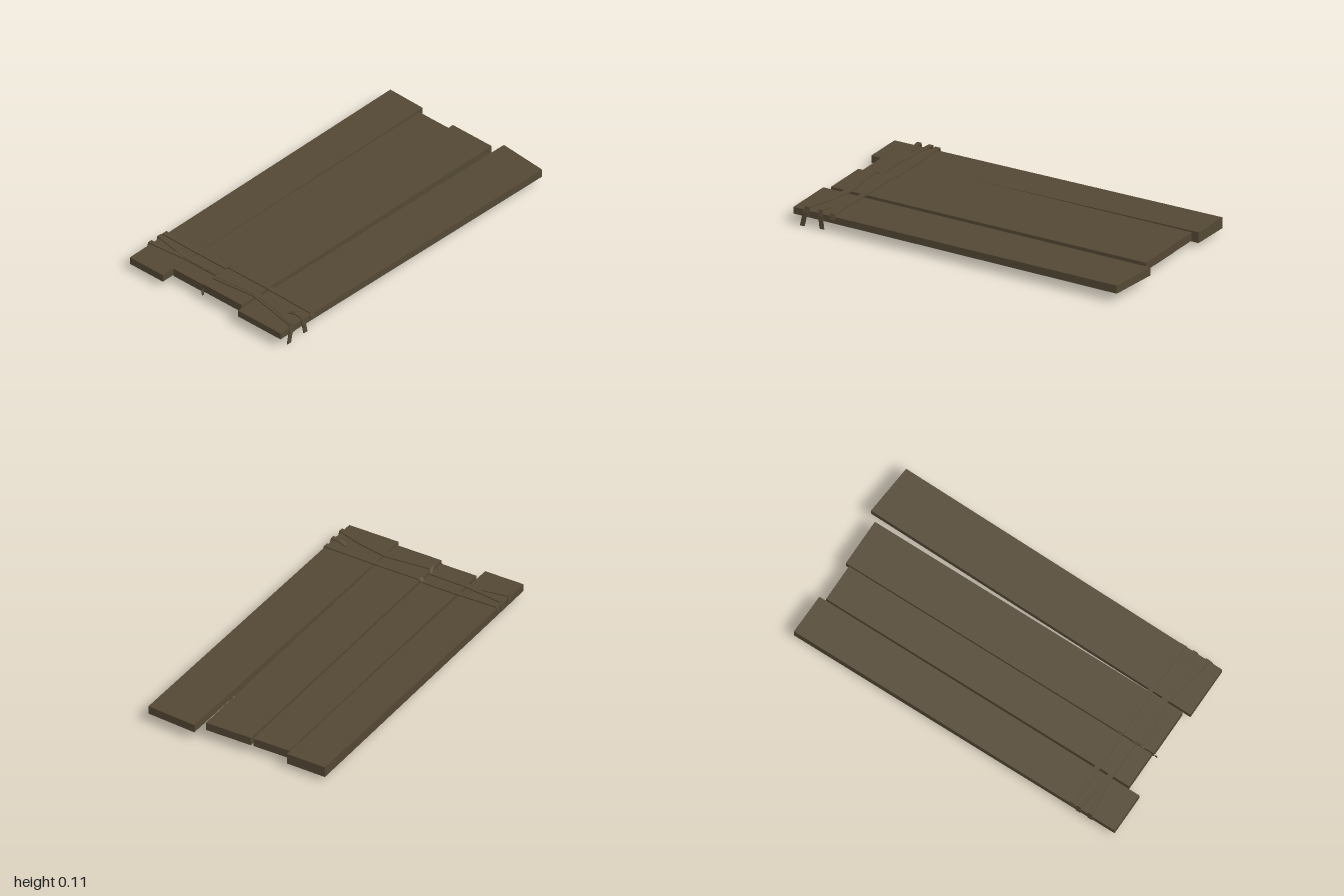
import * as THREE from 'three';

const wood = new THREE.MeshStandardMaterial({ color: 0x544834, side: THREE.DoubleSide, flatShading: true });
wood.name = 'weathered brown';

// Plank shell without an underside. Each end: [xLeft, xRight, zLeft, zRight, yBottom, yTop]
function plank(name, back, front) {
  const geo = new THREE.BoxGeometry(1, 1, 1);
  const p = geo.attributes.position;
  for (let i = 0; i < p.count; i++) {
    const end = p.getZ(i) > 0 ? front : back;
    const side = p.getX(i) > 0 ? 1 : 0;
    p.setXYZ(i, end[side], end[p.getY(i) > 0 ? 5 : 4], end[2 + side]);
  }
  const index = Array.from(geo.index.array);
  index.splice(18, 6); // leave the bottom open
  geo.setIndex(index);
  geo.clearGroups();
  geo.computeVertexNormals();
  const mesh = new THREE.Mesh(geo, wood);
  mesh.name = name;
  return mesh;
}

// Flat binding strip swept along [x, y, z] points, its width lying along z
function strip(name, points, width = 0.026, thick = 0.006) {
  const pos = [], index = [];
  points.forEach(([x, y, z], i) => {
    const a = points[Math.max(i - 1, 0)], b = points[Math.min(i + 1, points.length - 1)];
    const len = Math.hypot(b[0] - a[0], b[1] - a[1]) || 1;
    const nx = -(b[1] - a[1]) / len * thick / 2, ny = (b[0] - a[0]) / len * thick / 2;
    for (const [s, t] of [[1, 1], [1, -1], [-1, -1], [-1, 1]]) {
      pos.push(x + nx * s, y + ny * s, z + t * width / 2);
    }
    if (i > 0) {
      for (let k = 0; k < 4; k++) {
        const c = (i - 1) * 4 + k, d = (i - 1) * 4 + (k + 1) % 4;
        index.push(c, c + 4, d, d, c + 4, d + 4);
      }
    }
  });
  const e = (points.length - 1) * 4;
  index.push(0, 1, 2, 0, 2, 3, e, e + 2, e + 1, e, e + 3, e + 2);
  const geo = new THREE.BufferGeometry();
  geo.setAttribute('position', new THREE.Float32BufferAttribute(pos, 3));
  geo.setIndex(index);
  geo.computeVertexNormals();
  const mesh = new THREE.Mesh(geo, wood);
  mesh.name = name;
  return mesh;
}

export function createModel() {
  const model = new THREE.Group();
  model.name = 'plankPanel';

  // Four uneven planks
  model.add(
    plank('plankOuterRight', [-0.525, -0.295, -0.97, -0.965, 0.03, 0.09], [-0.525, -0.295, 1, 1, 0.036, 0.077]),
    plank('plankInnerRight', [-0.285, -0.072, -0.93, -0.93, 0.04, 0.086], [-0.285, -0.072, 0.93, 0.93, 0.04, 0.086]),
    plank('plankInnerLeft', [-0.07, 0.2, -0.95, -0.95, 0.055, 0.1], [-0.07, 0.2, 0.94, 0.94, 0.055, 0.1]),
    plank('plankOuterLeft', [0.24, 0.53, -1, -0.975, 0.055, 0.1], [0.212, 0.508, 0.98, 0.98, 0.055, 0.092])
  );

  // Bindings laid over the planks near the front end
  const bindings = new THREE.Group();
  bindings.name = 'bindings';
  bindings.add(
    strip('straightBinding', [
      [-0.529, 0.07, 0.74], [-0.524, 0.095, 0.74], [-0.29, 0.09, 0.74], [-0.08, 0.091, 0.74],
      [-0.065, 0.104, 0.738], [0.2, 0.104, 0.738], [0.36, 0.104, 0.741], [0.508, 0.104, 0.744], [0.515, 0.075, 0.744]
    ], 0.03),
    strip('forwardBinding', [
      [-0.53, 0.048, 0.852], [-0.524, 0.097, 0.85], [-0.29, 0.09, 0.822], [-0.08, 0.091, 0.822],
      [-0.065, 0.104, 0.862], [0.2, 0.104, 0.835], [0.36, 0.106, 0.868], [0.508, 0.106, 0.9],
      [0.513, 0.08, 0.905], [0.514, 0.003, 0.922]
    ]),
    strip('rearBinding', [
      [-0.53, 0.048, 0.78], [-0.524, 0.099, 0.78], [-0.29, 0.092, 0.818], [-0.08, 0.093, 0.82],
      [-0.065, 0.106, 0.845], [0.2, 0.106, 0.822], [0.36, 0.108, 0.85], [0.508, 0.11, 0.895], [0.515, 0.06, 0.895]
    ]),
    strip('hangingBinding', [
      [0.42, 0.094, 0.81], [0.46, 0.109, 0.812], [0.508, 0.11, 0.814], [0.514, 0.08, 0.813], [0.518, 0.012, 0.802]
    ]),
    strip('looseEnd', [[-0.07, 0.1, 0.86], [-0.064, 0.07, 0.95], [-0.061, 0.04, 0.95]], 0.012, 0.004)
  );
  model.add(bindings);
  return model;
}
